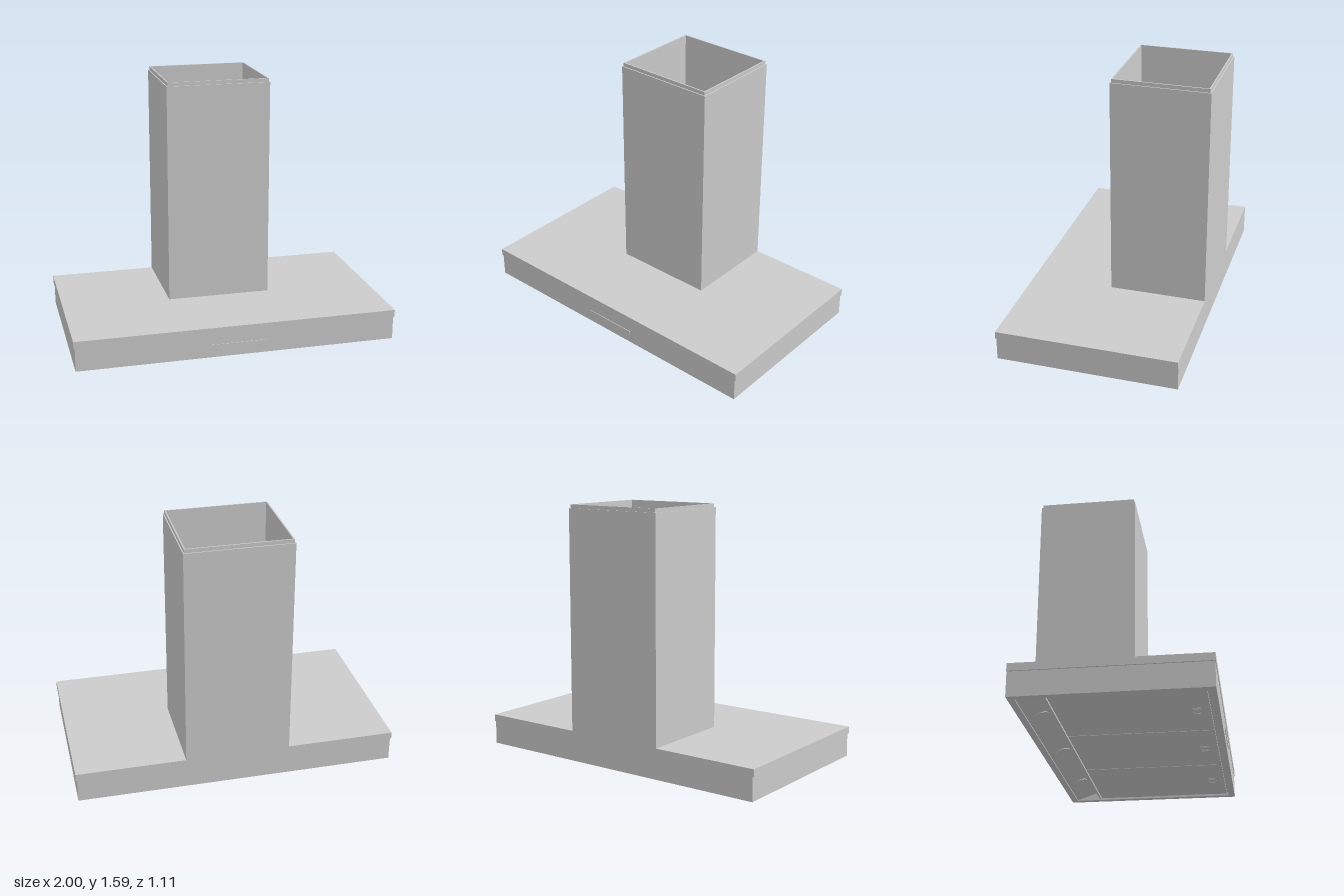
import * as THREE from 'three';

const material = new THREE.MeshStandardMaterial({ color: 0xcccccc, side: THREE.DoubleSide });

export function createModel() {
  const hood = new THREE.Group();
  hood.name = 'rangeHood';

  const add = (name, geometry, x = 0, y = 0, z = 0) => {
    const mesh = new THREE.Mesh(geometry, material);
    mesh.name = name;
    mesh.position.set(x, y, z);
    hood.add(mesh);
    return mesh;
  };

  // Box given by its limits on each axis
  const box = (name, x0, x1, y0, y1, z0, z1) =>
    add(name, new THREE.BoxGeometry(x1 - x0, y1 - y0, z1 - z0),
      (x0 + x1) / 2, (y0 + y1) / 2, (z0 + z1) / 2);

  // Upright rectangular tube: outer limits and wall thickness
  const rectangle = (Type, x, z0, z1) => new Type()
    .moveTo(-x, -z0).lineTo(x, -z0).lineTo(x, -z1).lineTo(-x, -z1).closePath();
  const sleeve = (name, x, y0, y1, z0, z1, wall) => {
    const shape = rectangle(THREE.Shape, x, z0, z1);
    shape.holes.push(rectangle(THREE.Path, x - wall, z0 + wall, z1 - wall));
    const geometry = new THREE.ExtrudeGeometry(shape, { depth: y1 - y0, bevelEnabled: false });
    geometry.rotateX(-Math.PI / 2);
    return add(name, geometry, 0, y0, 0);
  };

  // Canopy: hollow lower rim under a slightly wider top
  sleeve('canopyRim', 0.992, 0, 0.145, -0.557, 0.553, 0.04);
  box('canopyTop', -1, 1, 0.145, 0.19, -0.557, 0.556);
  box('controlStrip', -0.17, 0.17, 0.062, 0.082, 0.55, 0.557);

  // Chimney with an inner telescopic sleeve showing at the top
  sleeve('chimney', 0.325, 0.19, 1.562, -0.557, 0.045, 0.007);
  sleeve('chimneyInnerSleeve', 0.318, 0.19, 1.585, -0.55, 0.038, 0.008);

  // Fittings inside the chimney
  add('ductCollar', new THREE.CylinderGeometry(0.165, 0.165, 0.12, 48), 0, 0.25, -0.32);
  box('controlBox', -0.27, 0.27, 0.19, 0.28, -0.13, 0.02);
  box('cableGland', 0.2, 0.23, 0.21, 0.24, -0.2, -0.13);

  // Sloped lamp panel along the back of the underside
  const backZ = -0.517, stepZ = -0.365, lowY = 0.004, highY = 0.056;
  const slope = Math.atan2(highY - lowY, stepZ - backZ);
  const panel = add('lampPanel',
    new THREE.BoxGeometry(1.904, 0.006, Math.hypot(highY - lowY, stepZ - backZ)),
    0, (lowY + highY) / 2 + 0.003, (backZ + stepZ) / 2);
  panel.rotation.x = -slope;
  for (const x of [-0.62, 0, 0.62]) {
    const lamp = add('lamp', new THREE.CylinderGeometry(0.045, 0.045, 0.006, 32),
      x, (lowY + highY) / 2 - 0.001, (backZ + stepZ) / 2);
    lamp.rotation.x = -slope;
  }

  // Vertical step and backing plate for the filters
  box('filterStep', -0.952, 0.952, 0.006, 0.06, stepZ, stepZ + 0.012);
  box('filterBacking', -0.952, 0.952, 0.022, 0.06, stepZ, 0.513);

  // Three grease filters with latches at the front
  const pitch = 0.632;
  for (const i of [-1, 0, 1]) {
    const x = i * pitch;
    box('filter', x - 0.313, x + 0.313, 0.01, 0.024, stepZ + 0.016, 0.502);
    sleeve('filterLatchFrame', 0.045, 0.006, 0.012, 0.4, 0.45, 0.006).position.x = x;
    box('filterLatch', x - 0.025, x + 0.025, 0.007, 0.012, 0.415, 0.435);
  }
  return hood;
}
